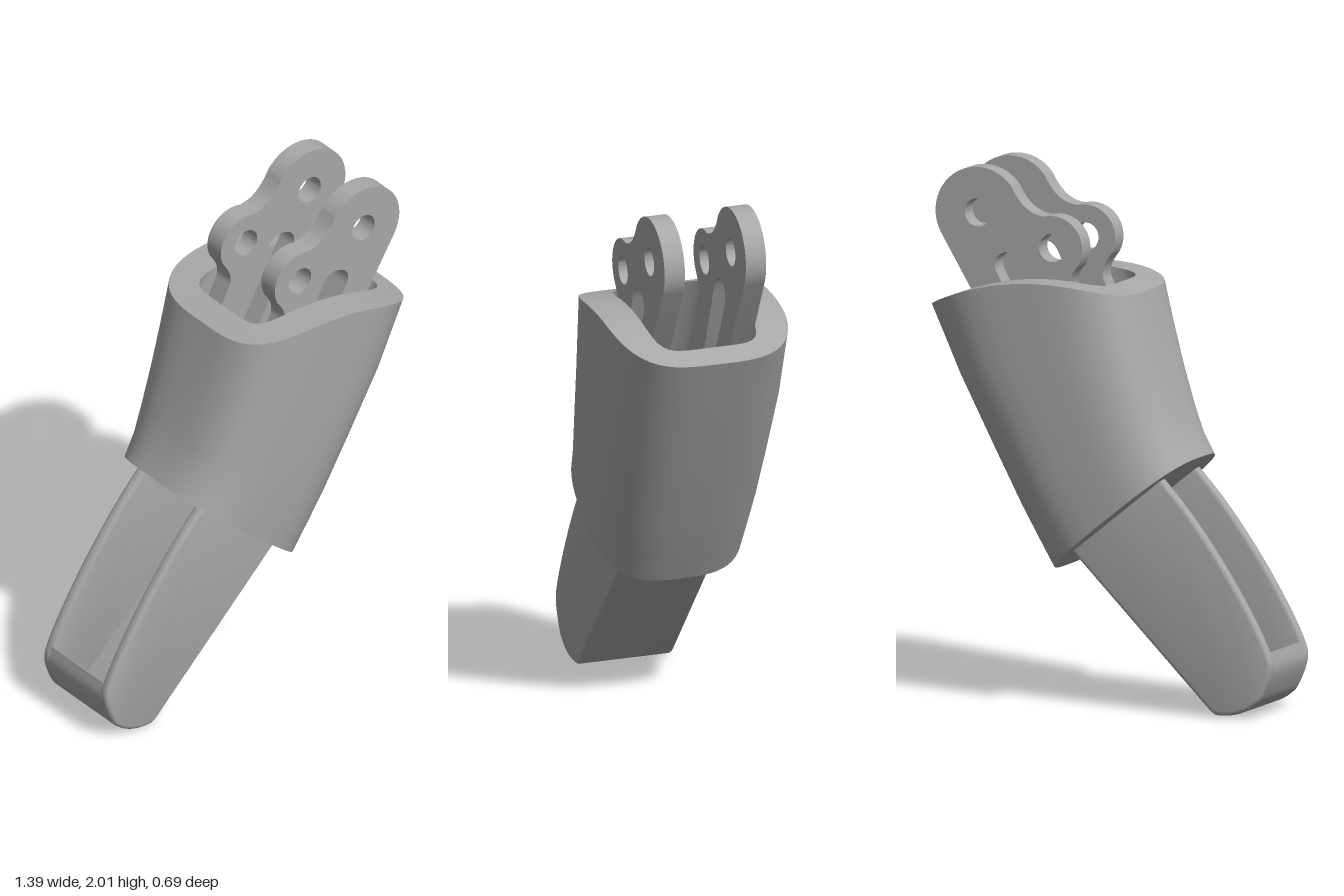
import * as THREE from 'three';
import { toCreasedNormals } from 'three/addons/utils/BufferGeometryUtils.js';

const grey = new THREE.MeshStandardMaterial({ color: 0xa8a8a8 });
grey.name = 'plain grey';
const SEG = 80;

function addMesh(parent, name, geometry) {
  const mesh = new THREE.Mesh(geometry, grey);
  mesh.name = name;
  parent.add(mesh);
  return mesh;
}

// Skin a list of closed rings with smooth normals.
function skin(rings) {
  const pos = [], uv = [], index = [];
  rings.forEach((ring, i) => ring.forEach((p, j) => {
    pos.push(p.x, p.y, p.z);
    uv.push(j / SEG, i);
    if (i < rings.length - 1) {
      const k = (j + 1) % SEG, a = i * SEG, b = a + SEG;
      index.push(a + j, b + j, a + k, a + k, b + j, b + k);
    }
  }));
  const g = new THREE.BufferGeometry();
  g.setAttribute('position', new THREE.Float32BufferAttribute(pos, 3));
  g.setAttribute('uv', new THREE.Float32BufferAttribute(uv, 2));
  g.setIndex(index);
  g.computeVertexNormals();
  return g;
}

// Rounded-square ring between a left and a right point of the side profile.
function ring(l, r, w, n, height) {
  return Array.from({ length: SEG }, (_, j) => {
    const a = j / SEG * Math.PI * 2, c = Math.cos(a), s = Math.sin(a);
    const k = 1 / Math.pow(Math.abs(c) ** n + Math.abs(s) ** n, 1 / n);
    const f = (1 + c * k) / 2;
    const x = l[0] + (r[0] - l[0]) * f;
    return new THREE.Vector3(x, height ? height(x) : l[1] + (r[1] - l[1]) * f, s * k * w);
  });
}

function centreOf(points) {
  const c = new THREE.Vector3();
  points.forEach(p => c.addScaledVector(p, 1 / SEG));
  return points.map(() => c.clone());
}

// Arched height of the sleeve's upper rim.
function rimHeight(x) {
  const u = (x - 0.2875) / 0.4025;
  return 1.508 - 0.042 * u + 0.085 * (1 - u * u);
}

function buildSleeve() {
  const sleeve = new THREE.Group();
  sleeve.name = 'sleeve';
  // left x, left y, right x, right y, half width, squareness
  const sections = [
    [-0.335, 0.94, 0.20, 0.50, 0.298, 3.0],
    [-0.287, 1.02, 0.262, 0.61, 0.308, 3.0],
    [-0.247, 1.12, 0.33, 0.735, 0.317, 3.1],
    [-0.20, 1.26, 0.44, 0.95, 0.328, 3.2],
    [-0.155, 1.41, 0.575, 1.22, 0.337, 3.4],
  ];
  const outer = sections.map(([lx, ly, rx, ry, w, n]) => ring([lx, ly], [rx, ry], w, n));
  outer.push(ring([-0.115, 0], [0.69, 0], 0.343, 3.5, rimHeight));
  const mouth = ring([-0.01, 0], [0.605, 0], 0.205, 6, rimHeight);
  const floor = mouth.map(p => new THREE.Vector3(p.x - 0.18, p.y - 0.37, p.z));
  addMesh(sleeve, 'sleeveShell', skin(outer));
  addMesh(sleeve, 'sleeveRim', skin([outer[outer.length - 1], mouth]));
  addMesh(sleeve, 'sleeveSocket', skin([mouth, floor]));
  addMesh(sleeve, 'socketFloor', skin([floor, centreOf(floor)]));
  addMesh(sleeve, 'sleeveBase', skin([centreOf(outer[0]), outer[0]]));
  return sleeve;
}

function extrude(shape, z0, z1, bevel) {
  const g = new THREE.ExtrudeGeometry(shape, {
    depth: z1 - z0 - 2 * bevel, curveSegments: 24,
    bevelEnabled: bevel > 0, bevelSize: bevel, bevelThickness: bevel,
    bevelOffset: -bevel, bevelSegments: 3,
  });
  g.translate(0, 0, z0 + bevel);
  return toCreasedNormals(g, 0.6);
}

const vecs = list => list.map(([x, y]) => new THREE.Vector2(x, y));

// Hollow blade: two side cheeks joined by an underside and a tip.
function buildBlade() {
  const blade = new THREE.Group();
  blade.name = 'blade';
  const tip = vecs([[-0.66, 0.085], [-0.625, 0.045], [-0.575, 0.017], [-0.52, 0.004], [-0.475, 0.003]]);

  const cheek = new THREE.Shape();
  cheek.moveTo(0.2, 0.675);
  cheek.lineTo(-0.12, 1.0);
  cheek.lineTo(-0.25, 0.875);
  cheek.splineThru(vecs([[-0.37, 0.74], [-0.5, 0.565], [-0.61, 0.39], [-0.68, 0.255], [-0.694, 0.18]]).concat(tip));
  cheek.lineTo(-0.455, 0.015);
  cheek.closePath();
  for (const side of [-1, 1]) {
    const z = [side * 0.145, side * 0.19].sort((a, b) => a - b);
    addMesh(blade, side > 0 ? 'frontCheek' : 'backCheek', extrude(cheek, z[0], z[1], 0.015));
  }

  const web = new THREE.Shape();
  web.moveTo(0.2, 0.675);
  web.lineTo(0.14, 0.73);
  web.lineTo(-0.51, 0.08);
  web.lineTo(-0.682, 0.25);
  web.splineThru(vecs([[-0.694, 0.18]]).concat(tip));
  web.lineTo(-0.455, 0.015);
  web.closePath();
  addMesh(blade, 'underside', extrude(web, -0.172, 0.172, 0));
  return blade;
}

// Two-lobed lug with pin holes and an arched gap between its legs.
function lugShape() {
  const rad = THREE.MathUtils.degToRad;
  const s = new THREE.Shape();
  s.moveTo(0.305, 1.22);
  s.lineTo(0.52, 1.55);
  s.absarc(0.49, 1.83, 0.17, rad(-33), rad(143), false);
  s.quadraticCurveTo(0.305, 1.835, 0.221, 1.831);
  s.absarc(0.19, 1.715, 0.12, rad(75), rad(212), false);
  s.quadraticCurveTo(0.13, 1.6, 0.115, 1.56);
  s.lineTo(-0.04, 1.22);
  s.lineTo(0.1, 1.22);
  s.lineTo(0.275, 1.6);
  s.bezierCurveTo(0.305, 1.67, 0.315, 1.69, 0.355, 1.69);
  s.bezierCurveTo(0.41, 1.69, 0.435, 1.65, 0.41, 1.605);
  s.lineTo(0.2, 1.22);
  s.closePath();
  for (const [x, y] of [[0.19, 1.715], [0.49, 1.83]]) {
    const hole = new THREE.Path();
    hole.absarc(x, y, 0.053, 0, Math.PI * 2, true);
    s.holes.push(hole);
  }
  return s;
}

export function createModel() {
  const model = new THREE.Group();
  model.name = 'jointedFingertip';
  model.add(buildSleeve(), buildBlade());
  const shape = lugShape();
  addMesh(model, 'frontLug', extrude(shape, 0.12, 0.2, 0));
  addMesh(model, 'backLug', extrude(shape, -0.2, -0.12, 0));
  // The whole piece leans very slightly forward.
  model.rotation.x = 0.022;
  model.position.z = -0.035;
  return model;
}
